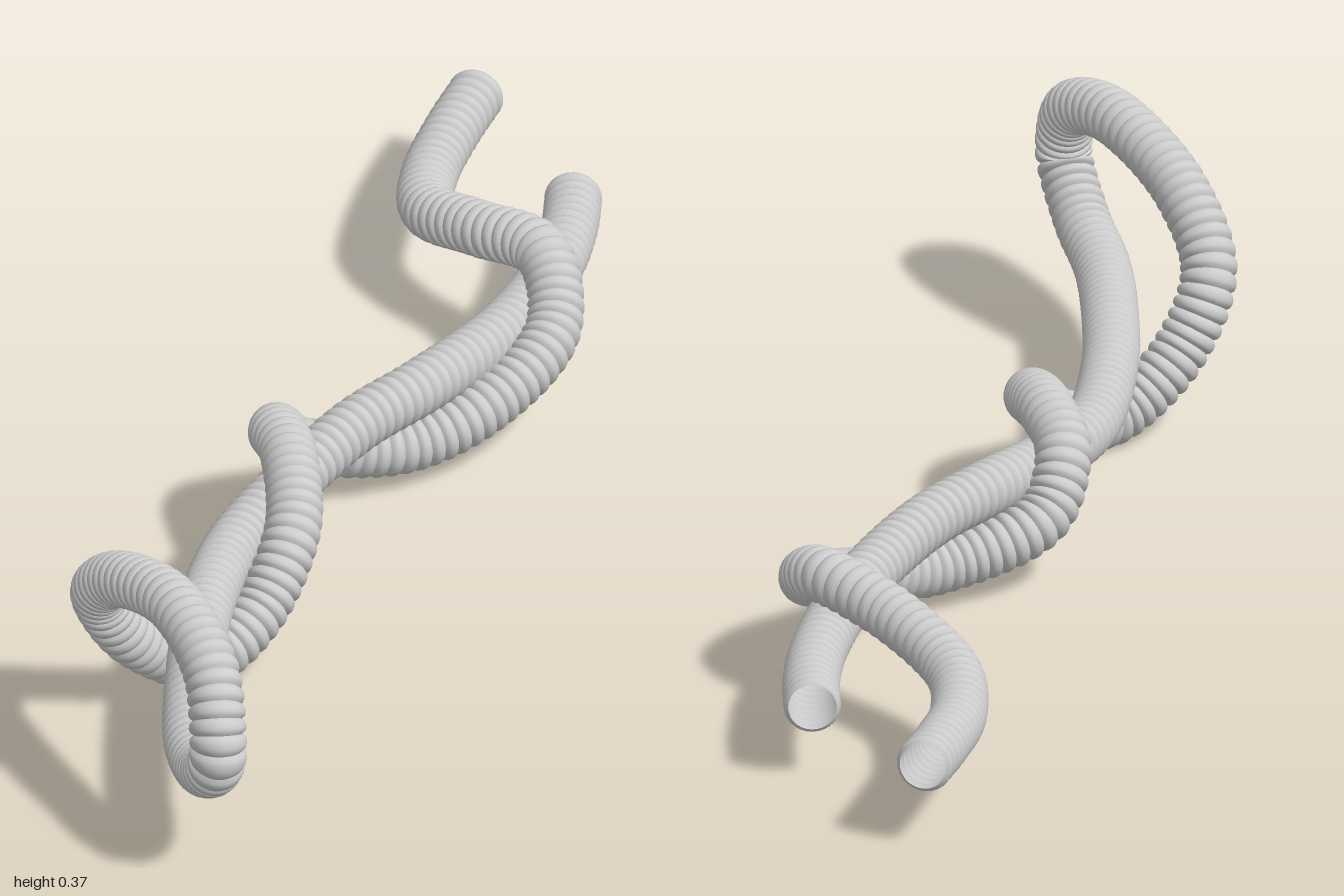
import * as THREE from 'three';

// Centre line: from one open end, out along the straighter strand,
// round the raised loop, and back winding about the first strand.
const PATH = [
  [0.04, 0.11, -0.805], [0.065, 0.11, -0.72], [0.085, 0.113, -0.6], [0.085, 0.125, -0.4], [0.045, 0.14, -0.2],
  [-0.005, 0.14, -0.06], [-0.045, 0.123, 0.1], [-0.063, 0.115, 0.25], [-0.04, 0.122, 0.43],
  [0.005, 0.123, 0.6], [0.07, 0.12, 0.79], [0.125, 0.14, 0.89], [0.168, 0.2, 0.957],
  [0.165, 0.245, 0.948], [0.138, 0.3, 0.9], [0.05, 0.332, 0.8], [-0.075, 0.285, 0.68],
  [-0.134, 0.205, 0.6], [-0.105, 0.105, 0.535], [-0.037, 0.042, 0.45], [0.006, 0.073, 0.36],
  [0.018, 0.147, 0.25], [-0.035, 0.188, 0.12], [-0.085, 0.165, 0.03], [-0.078, 0.1, -0.05],
  [0.03, 0.063, -0.16], [0.11, 0.083, -0.27], [0.153, 0.13, -0.41], [0.1, 0.183, -0.52],
  [-0.02, 0.162, -0.59], [-0.12, 0.128, -0.67], [-0.16, 0.115, -0.78], [-0.17, 0.12, -0.9], [-0.17, 0.125, -1],
];
const PITCH = 0.02;    // length of one rib
const R_GROOVE = 0.033;
const R_RIB = 0.0395;
const STEPS = 6;       // rows across a rib
const SIDES = 28;

// Sweep a ribbed section; each rib owns its rows so the grooves stay sharp.
function ribbedHose(curve) {
  curve.arcLengthDivisions = 2000;
  const ribs = Math.round(curve.getLength() / PITCH);
  const total = ribs * STEPS;
  const centres = curve.getSpacedPoints(total);
  const { normals, binormals } = curve.computeFrenetFrames(total, false);
  const pos = [], index = [];
  const p = new THREE.Vector3();
  for (let rib = 0; rib < ribs; rib++) {
    for (let s = 0; s <= STEPS; s++) {
      const k = rib * STEPS + s;
      const bulge = Math.sqrt(Math.max(0, Math.sin((Math.PI * s) / STEPS)));
      const r = R_GROOVE + (R_RIB - R_GROOVE) * bulge;
      const row = pos.length / 3;
      for (let j = 0; j < SIDES; j++) {
        const a = (j / SIDES) * Math.PI * 2;
        p.copy(centres[k])
          .addScaledVector(normals[k], r * Math.cos(a))
          .addScaledVector(binormals[k], r * Math.sin(a));
        pos.push(p.x, p.y, p.z);
        if (s < STEPS) {
          const b = row + j, c = row + ((j + 1) % SIDES);
          index.push(b, c, b + SIDES, c, c + SIDES, b + SIDES);
        }
      }
    }
  }
  const geo = new THREE.BufferGeometry();
  geo.setAttribute('position', new THREE.Float32BufferAttribute(pos, 3));
  geo.setIndex(index);
  geo.computeVertexNormals();
  return geo;
}

export function createModel() {
  const group = new THREE.Group();
  group.name = 'twistedHose';
  const curve = new THREE.CatmullRomCurve3(PATH.map((q) => new THREE.Vector3(...q)));
  // Open-ended, so the inside wall shows too
  const material = new THREE.MeshStandardMaterial({ color: 0xcccccc, side: THREE.DoubleSide });
  const hose = new THREE.Mesh(ribbedHose(curve), material);
  hose.name = 'corrugatedHose';
  group.add(hose);
  return group;
}
